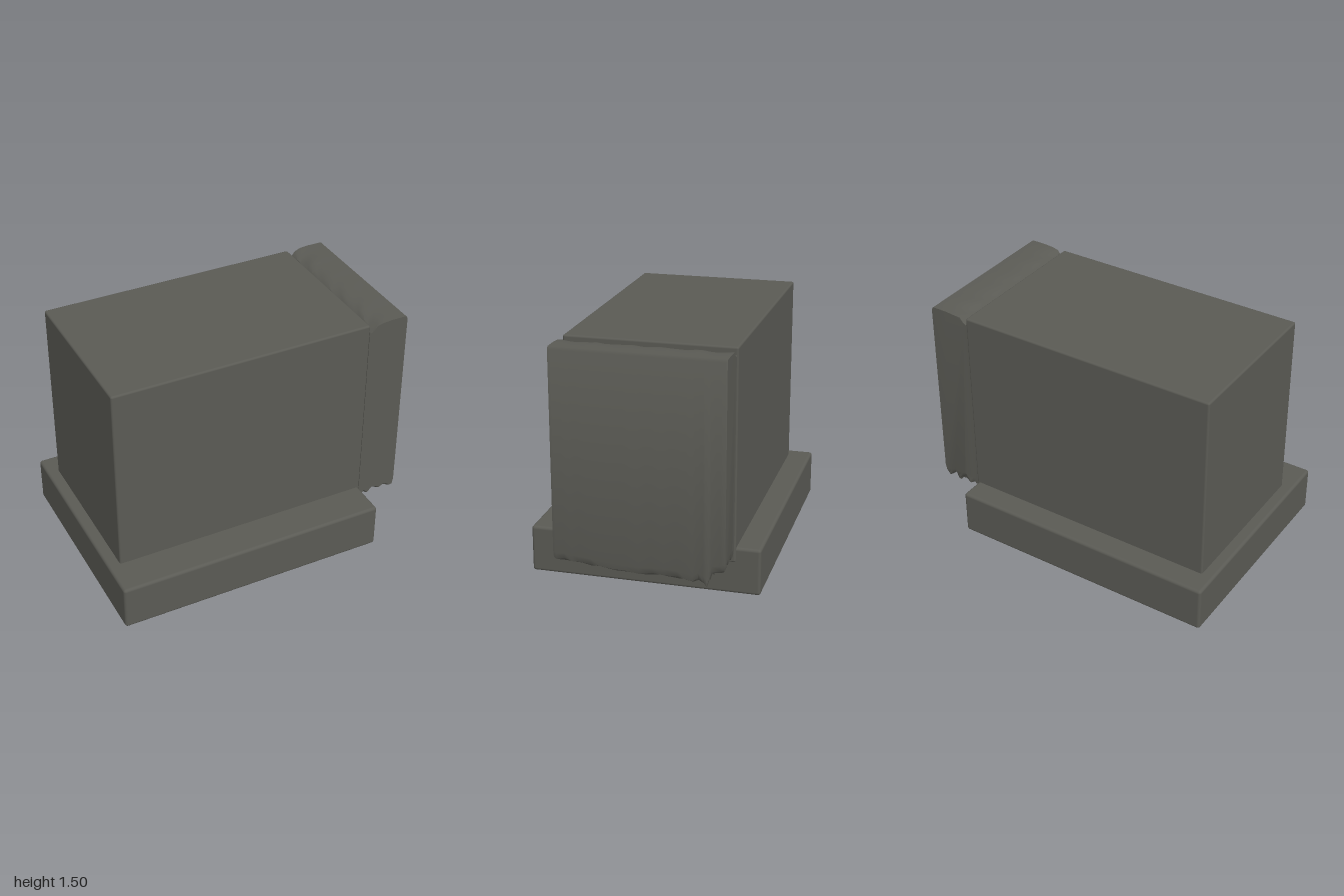
import * as THREE from 'three';
import { toCreasedNormals } from 'three/addons/utils/BufferGeometryUtils.js';
import { RoundedBoxGeometry } from 'three/addons/geometries/RoundedBoxGeometry.js';

const stone = new THREE.MeshStandardMaterial({ color: 0x5a5a54 });
stone.name = 'dark stone';

// Rounded block given by its lower and upper corners
function block(name, min, max, radius) {
  const size = max.map((v, i) => v - min[i]);
  const mesh = new THREE.Mesh(new RoundedBoxGeometry(...size, 3, radius), stone);
  mesh.position.set(...max.map((v, i) => (v + min[i]) / 2));
  mesh.name = name;
  return mesh;
}

// Broken lower edge of the slab: [z, y], front to back
const EDGE = [[0.466, 0.22], [0.45, 0.205], [0.4, 0.212], [0.35, 0.205], [0.3, 0.2], [0.24, 0.195], [0.18, 0.19],
  [0.1, 0.182], [0.03, 0.176], [-0.05, 0.173], [-0.13, 0.18], [-0.2, 0.182], [-0.28, 0.178], [-0.33, 0.172],
  [-0.37, 0.16], [-0.4, 0.182], [-0.43, 0.165], [-0.45, 0.14], [-0.465, 0.19], [-0.48, 0.232],
  [-0.53, 0.238], [-0.55, 0.25], [-0.56, 0.275]];
// Torn ridges across the slab's thickness: [x, height above the edge]
const RIDGES = [[0.735, 0.02], [0.755, 0.0], [0.775, 0.025], [0.8, 0.0], [0.835, 0.04], [0.86, 0.03],
  [0.89, 0.008], [0.92, 0.035], [0.945, 0.022], [0.97, 0.0], [0.988, 0.012]];

// Outline of the slab at one depth, counter-clockwise seen from the front
function slabSection(z, y) {
  const wave = 0.006 * Math.sin(z * 31);
  const top = [[0.996, 1.485], [0.985, 1.5], [0.89, 1.5], [0.83, 1.492 + wave / 2], [0.79, 1.48 + wave],
    [0.765, 1.462 - wave], [0.748, 1.44 + wave], [0.735, 1.455]];
  const bottom = RIDGES.map(([x, h], i) => [x, y + h + 0.005 * Math.sin(z * 47 + i * 2)]);
  return [...top, ...bottom, [0.996, y + 0.05]];
}

function slabGeometry() {
  const rings = EDGE.map(([z, y]) => slabSection(z, y));
  const n = rings[0].length;
  const pos = [], index = [];
  rings.forEach((ring, r) => ring.forEach(([x, y]) => {
    // the back end is recessed beside the seam
    const inset = r === rings.length - 1 && x < 0.8 ? 0.008 : 0;
    pos.push(x, y, EDGE[r][0] + inset);
  }));
  for (let r = 0; r < rings.length - 1; r++) {
    for (let i = 0; i < n; i++) {
      const a = r * n + i, b = r * n + (i + 1) % n;
      index.push(a, a + n, b, b, a + n, b + n);
    }
  }
  // End faces
  const cap = (ring, start, flip) => {
    const pts = ring.map(([x, y]) => new THREE.Vector2(x, y));
    for (const [a, b, c] of THREE.ShapeUtils.triangulateShape(pts, [])) {
      index.push(start + a, start + (flip ? c : b), start + (flip ? b : c));
    }
  };
  cap(rings[0], 0, false);
  cap(rings[rings.length - 1], (rings.length - 1) * n, true);
  const g = new THREE.BufferGeometry();
  g.setAttribute('position', new THREE.Float32BufferAttribute(pos, 3));
  g.setIndex(index);
  return toCreasedNormals(g, 0.7);
}

export function createModel() {
  const group = new THREE.Group();
  group.name = 'stone block';
  group.add(block('plinth', [-1, 0, -0.71], [0.73, 0.29, 0.7], 0.018));
  group.add(block('mainBlock', [-0.925, 0.2, -0.562], [0.738, 1.5, 0.466], 0.012));
  const slab = new THREE.Mesh(slabGeometry(), stone);
  slab.name = 'brokenEndSlab';
  group.add(slab);
  return group;
}
